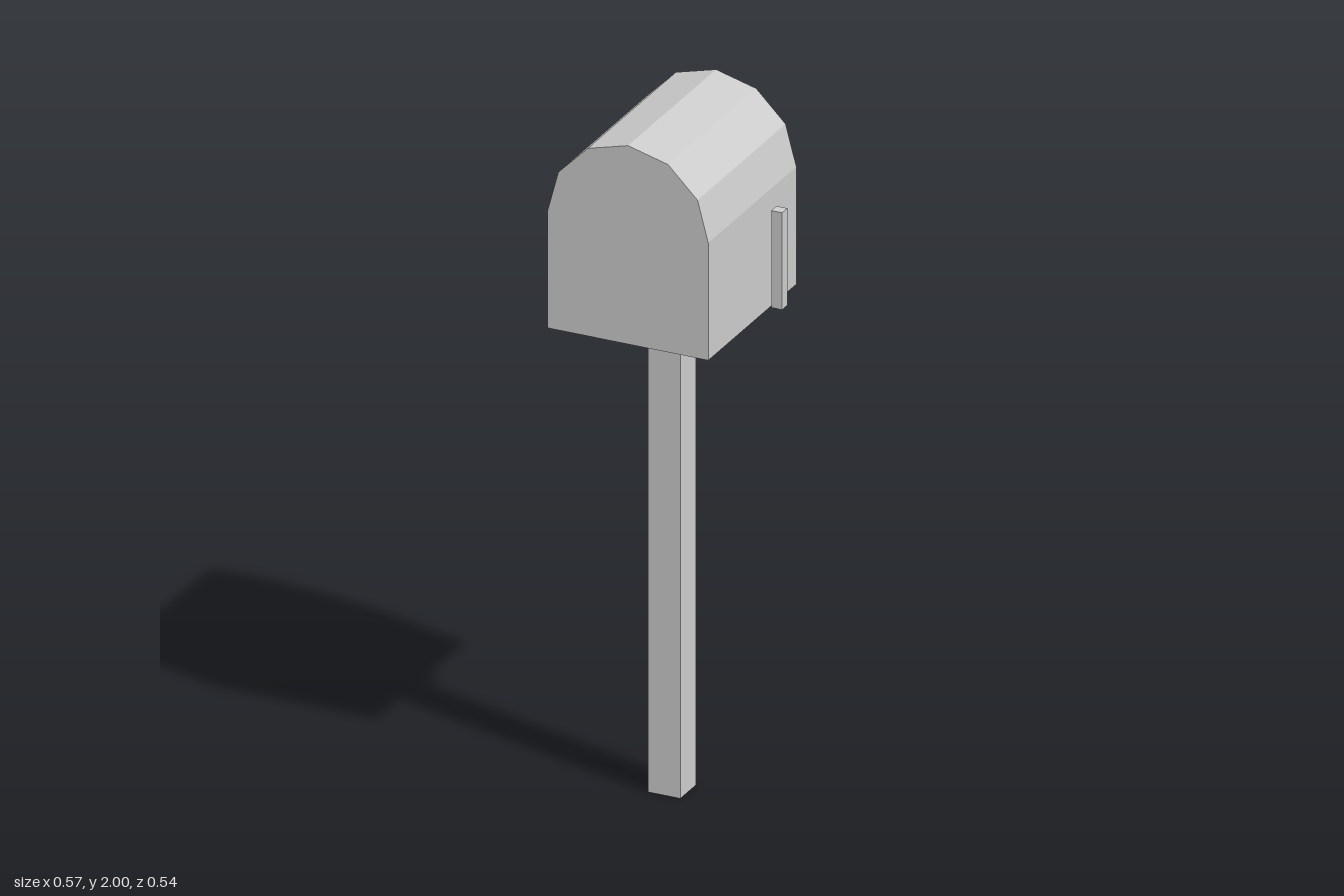
import * as THREE from 'three';

export function createModel() {
  const model = new THREE.Group();
  model.name = 'mailbox';
  const material = new THREE.MeshStandardMaterial({ color: 0xcccccc, flatShading: true });

  const add = (name, geometry, x, y, z) => {
    const mesh = new THREE.Mesh(geometry, material);
    mesh.name = name;
    mesh.position.set(x, y, z);
    model.add(mesh);
  };

  const axisX = -0.048; // the post and box share this centre line
  const radius = 0.238;
  const bottom = 1.417;
  const spring = 2 - radius; // height where the arched roof begins
  const depth = 0.54;

  // Square post
  add('post', new THREE.BoxGeometry(0.095, bottom, 0.095), axisX, bottom / 2, 0);

  // Box with a six-sided arched roof
  const profile = new THREE.Shape();
  profile.moveTo(-radius, bottom);
  profile.lineTo(radius, bottom);
  for (let i = 0; i <= 6; i++) {
    const a = (i / 6) * Math.PI;
    profile.lineTo(radius * Math.cos(a), spring + radius * Math.sin(a));
  }
  profile.closePath();
  const body = new THREE.ExtrudeGeometry(profile, { depth, bevelEnabled: false });
  add('box', body, axisX, 0, -depth / 2);

  // Upright signal flag, standing clear of the left wall
  add('flag', new THREE.BoxGeometry(0.032, 0.285, 0.032), 0.27, 1.622, 0);

  return model;
}
